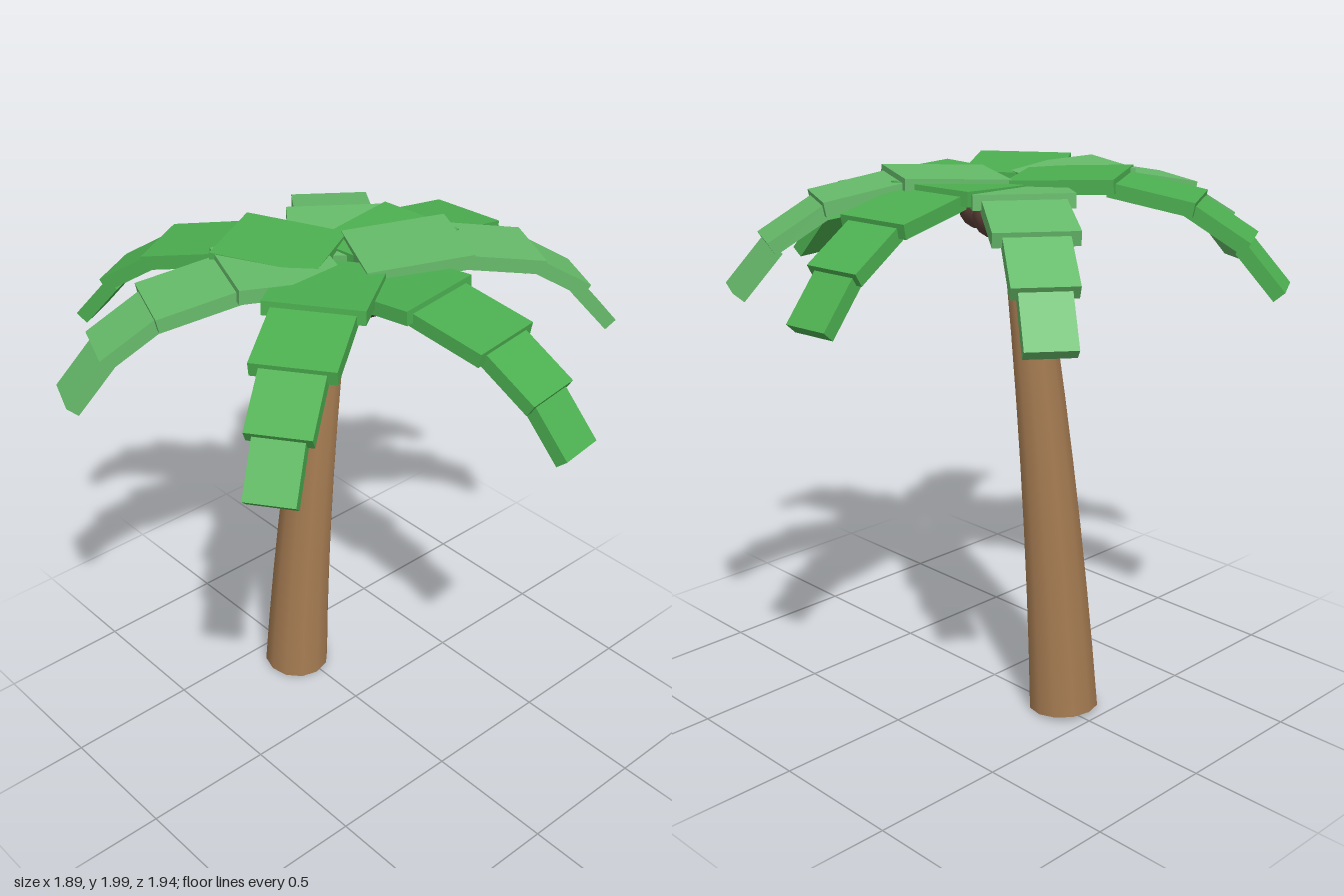
import * as THREE from 'three';

const material = (color, extra = {}) => new THREE.MeshStandardMaterial({ color, ...extra });

// Leaning trunk: a tapered cylinder whose rings follow a gentle curve
function createTrunk() {
  const height = 1.89;
  const geometry = new THREE.CylinderGeometry(0.066, 0.13, height, 12, 8);
  const p = geometry.attributes.position;
  for (let i = 0; i < p.count; i++) {
    const t = p.getY(i) + height / 2;
    const slope = 0.08 + 0.06 * t;
    const x = p.getX(i);
    p.setX(i, -0.35 + 0.08 * t + 0.03 * t * t + x);
    p.setY(i, 0.011 + t - slope * x);
  }
  const trunk = new THREE.Mesh(geometry, material(0xa67c52));
  trunk.position.z = 0.02;
  trunk.name = 'trunk';
  return trunk;
}

// Leaf segments: start radius, start height, end radius, end height (top face), width
const SEGMENTS = [
  [0.04, 1.97, 0.41, 1.99, 0.34],
  [0.39, 1.975, 0.68, 1.92, 0.28],
  [0.66, 1.915, 0.865, 1.79, 0.215],
  [0.85, 1.78, 0.985, 1.625, 0.168],
];

// One drooping frond made of four narrowing slabs
function createFrond(degrees, drop, mat) {
  const frond = new THREE.Group();
  frond.name = 'frond';
  const thickness = 0.05;
  for (const [r0, y0, r1, y1, width] of SEGMENTS) {
    const geometry = new THREE.BoxGeometry(Math.hypot(r1 - r0, y1 - y0), thickness, width);
    geometry.translate(0, -thickness / 2, 0);
    const slab = new THREE.Mesh(geometry, mat);
    slab.position.set((r0 + r1) / 2, (y0 + y1) / 2, 0);
    slab.rotation.z = Math.atan2(y1 - y0, r1 - r0);
    slab.name = 'leafSegment';
    frond.add(slab);
  }
  frond.position.set(-0.045, -drop, 0.02);
  frond.rotation.y = -THREE.MathUtils.degToRad(degrees);
  return frond;
}

export function createModel() {
  const palm = new THREE.Group();
  palm.name = 'palmTree';
  palm.add(createTrunk());

  // Crown of fronds: direction, drop, pale or deep green
  const deep = material(0x4caf50, { flatShading: true });
  const pale = material(0x66bb6a, { flatShading: true });
  const fronds = [
    [-8, 0.03, deep], [54.4, 0.006, deep], [111.5, 0.004, pale], [150.5, 0, deep],
    [217.2, 0.025, pale], [264.2, 0.015, deep], [297, -0.004, pale],
  ];
  for (const f of fronds) palm.add(createFrond(...f));

  // Coconuts clustered round the top of the trunk
  const shell = material(0x5d4037);
  for (const [x, z] of [[-0.035, 0.12], [0.05, -0.02], [-0.105, -0.1]]) {
    const coconut = new THREE.Mesh(new THREE.SphereGeometry(0.08, 12, 8), shell);
    coconut.position.set(x, 1.845, z);
    coconut.name = 'coconut';
    palm.add(coconut);
  }
  return palm;
}
